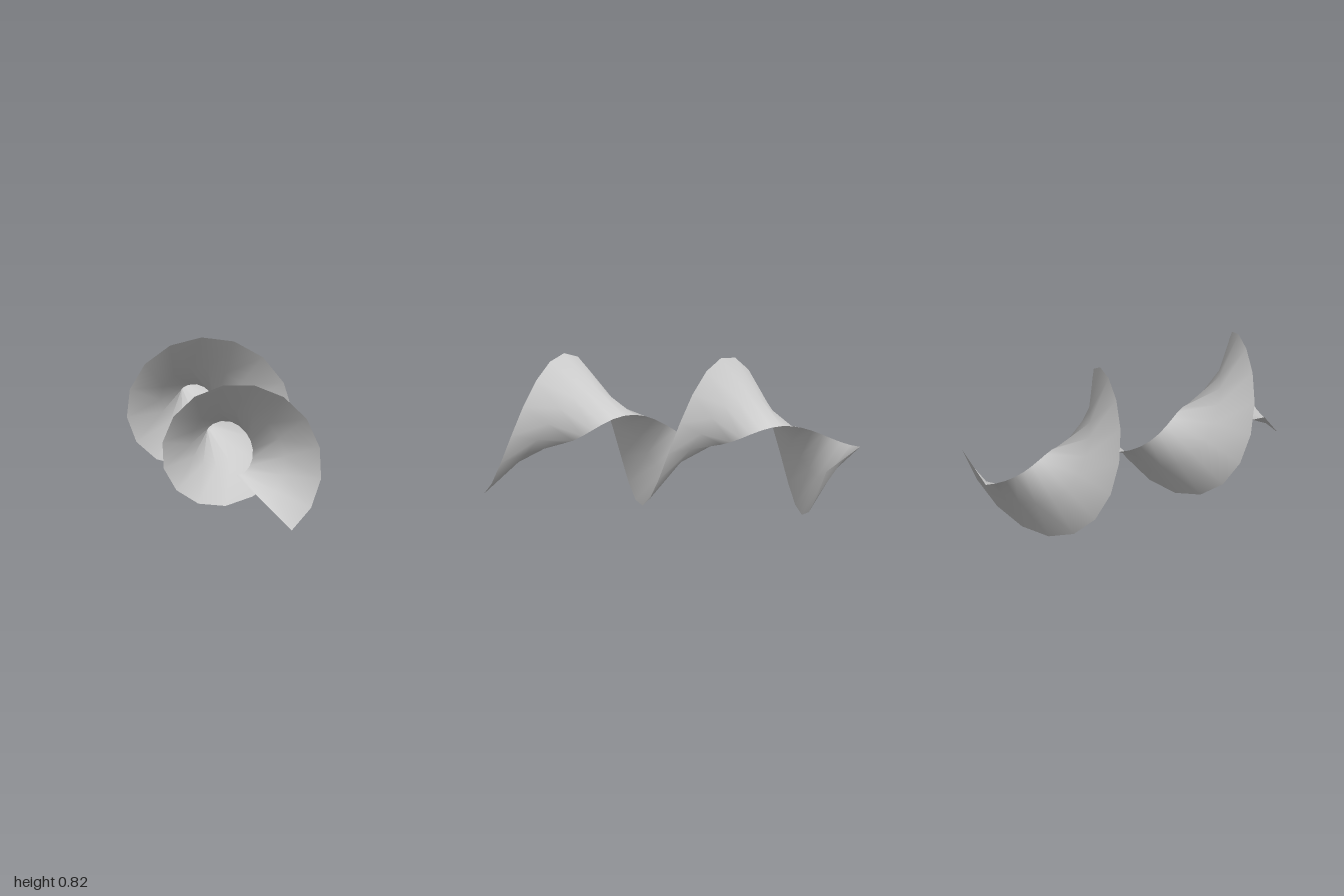
import * as THREE from 'three';

// Helical ribbon winding around the z axis, with a slow twist along its length
const STEPS = 33;              // segments along the helix
const ACROSS = 2;              // segments across the ribbon
const RADIUS = 0.215;          // radius of the centre line
const HALF_WIDTH = 0.219;
const AXIS_Y = 0.42;
const DEG = Math.PI / 180;
const lerp = THREE.MathUtils.lerp;

// Point on the ribbon: t runs along it, s from -1 (inner edge) to 1 (outer edge)
function ribbonPoint(t, s) {
  const angle = lerp(-71.6, 709.2, t) * DEG;
  const twist = lerp(43, 20.7, t) * DEG;
  const radial = new THREE.Vector3(Math.cos(angle), Math.sin(angle), 0);
  const binormal = new THREE.Vector3(-Math.sin(angle) * 0.537, Math.cos(angle) * 0.537, 0.843);
  return new THREE.Vector3(0, AXIS_Y, lerp(0.877, -0.933, t))
    .addScaledVector(radial, RADIUS + s * HALF_WIDTH * Math.cos(twist))
    .addScaledVector(binormal, s * HALF_WIDTH * Math.sin(twist));
}

export function createModel() {
  const positions = [];
  const indices = [];
  const row = ACROSS + 1;
  for (let i = 0; i <= STEPS; i++) {
    for (let j = 0; j <= ACROSS; j++) {
      positions.push(...ribbonPoint(i / STEPS, (2 * j) / ACROSS - 1).toArray());
    }
  }
  for (let i = 0; i < STEPS; i++) {
    for (let j = 0; j < ACROSS; j++) {
      const a = i * row + j, b = a + 1, c = a + row, d = c + 1;
      indices.push(a, b, c, b, d, c);
    }
  }
  const geometry = new THREE.BufferGeometry();
  geometry.setAttribute('position', new THREE.Float32BufferAttribute(positions, 3));
  geometry.setIndex(indices);
  geometry.computeVertexNormals();

  const grey = new THREE.MeshStandardMaterial({ color: 0xcccccc, side: THREE.DoubleSide });
  grey.name = 'light grey';

  const ribbon = new THREE.Mesh(geometry, grey);
  ribbon.name = 'spiralRibbon';

  const model = new THREE.Group();
  model.name = 'twistedRibbon';
  model.add(ribbon);
  return model;
}
